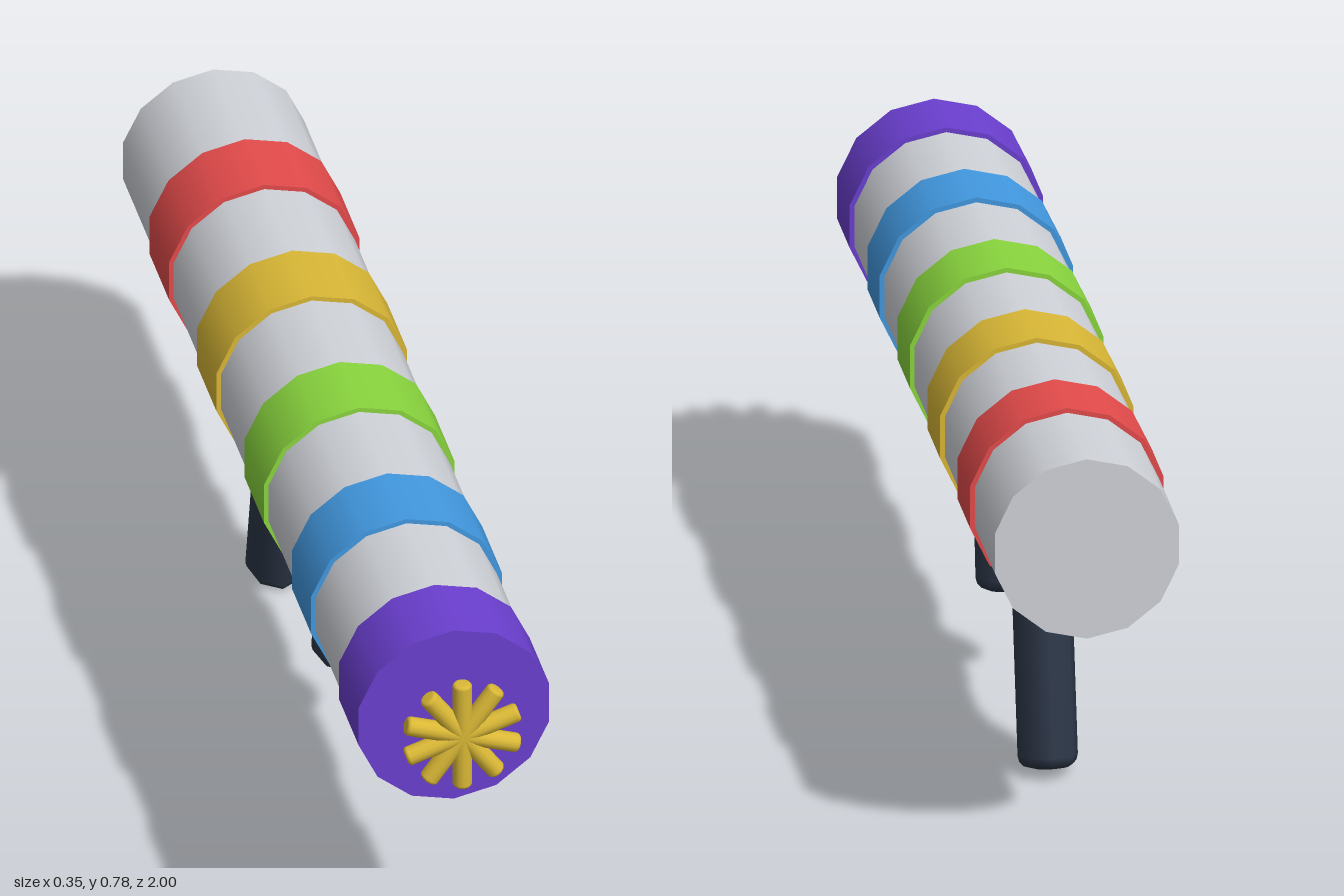
import * as THREE from 'three';

const material = (name, color) => new THREE.MeshStandardMaterial({ name, color });

// Rod along y with softly rounded end edges
function roundedRod(radius, length, bevel, sides) {
  const h = length / 2;
  const profile = [new THREE.Vector2(0, -h)];
  for (const end of [-1, 1]) {
    for (let i = 0; i <= 3; i++) {
      const t = ((end < 0 ? i : 3 - i) / 3) * Math.PI / 2;
      profile.push(new THREE.Vector2(
        radius - bevel + bevel * Math.sin(t),
        end * (h - bevel + bevel * Math.cos(t))
      ));
    }
  }
  profile.push(new THREE.Vector2(0, h));
  return new THREE.LatheGeometry(profile, sides);
}

export function createModel() {
  const group = new THREE.Group();
  const AXIS_Y = 0.601;
  const gray = material('light gray', 0xd0d3d9);
  const navy = material('dark navy', 0x2d3748);
  const gold = material('gold', 0xdab836);

  const add = (name, geometry, mat, x, y, z, parent = group) => {
    const mesh = new THREE.Mesh(geometry, mat);
    mesh.name = name;
    mesh.position.set(x, y, z);
    parent.add(mesh);
    return mesh;
  };
  const drum = (radius, length) =>
    new THREE.CylinderGeometry(radius, radius, length, 14).rotateX(Math.PI / 2);

  // Main barrel
  add('barrel', drum(0.172, 1.88), gray, 0, AXIS_Y, -0.06);

  // Coloured bands, front to back
  const bands = [
    ['purpleMuzzleBand', material('purple', 0x6b3fd0)],
    ['blueBand', material('blue', 0x4299e1)],
    ['greenBand', material('green', 0x8ad63e)],
    ['goldBand', gold],
    ['redBand', material('red', 0xe54b4b)],
  ];
  bands.forEach(([name, mat], i) =>
    add(name, drum(0.181, 0.155), mat, 0, AXIS_Y, 0.838 - i * 0.3775));

  // Starburst of crossed rods in front of the muzzle
  const starburst = new THREE.Group();
  starburst.name = 'starburst';
  starburst.position.set(0, AXIS_Y, 0.982);
  group.add(starburst);
  const ray = roundedRod(0.018, 0.22, 0.007, 12);
  for (let i = 0; i < 5; i++) {
    add('starRod', ray, gold, 0, 0, 0, starburst).rotation.z = (i * Math.PI) / 5;
  }

  // Raked grips, deeper than they are wide
  const grip = (name, length, y, z, tilt) => {
    const geometry = roundedRod(0.055, length, 0.022, 8).scale(1, 1, 1.28);
    add(name, geometry, navy, 0, y, z).rotation.x = THREE.MathUtils.degToRad(tilt);
  };
  grip('frontGrip', 0.285, 0.305, 0.037, 9.5);
  grip('rearGrip', 0.405, 0.207, -0.467, 13.5);

  // Trigger guard ring
  const ring = new THREE.TorusGeometry(0.08, 0.014, 8, 12)
    .rotateZ(Math.PI / 12)
    .rotateY(Math.PI / 2);
  add('triggerGuard', ring, navy, 0, 0.348, -0.318);

  return group;
}
